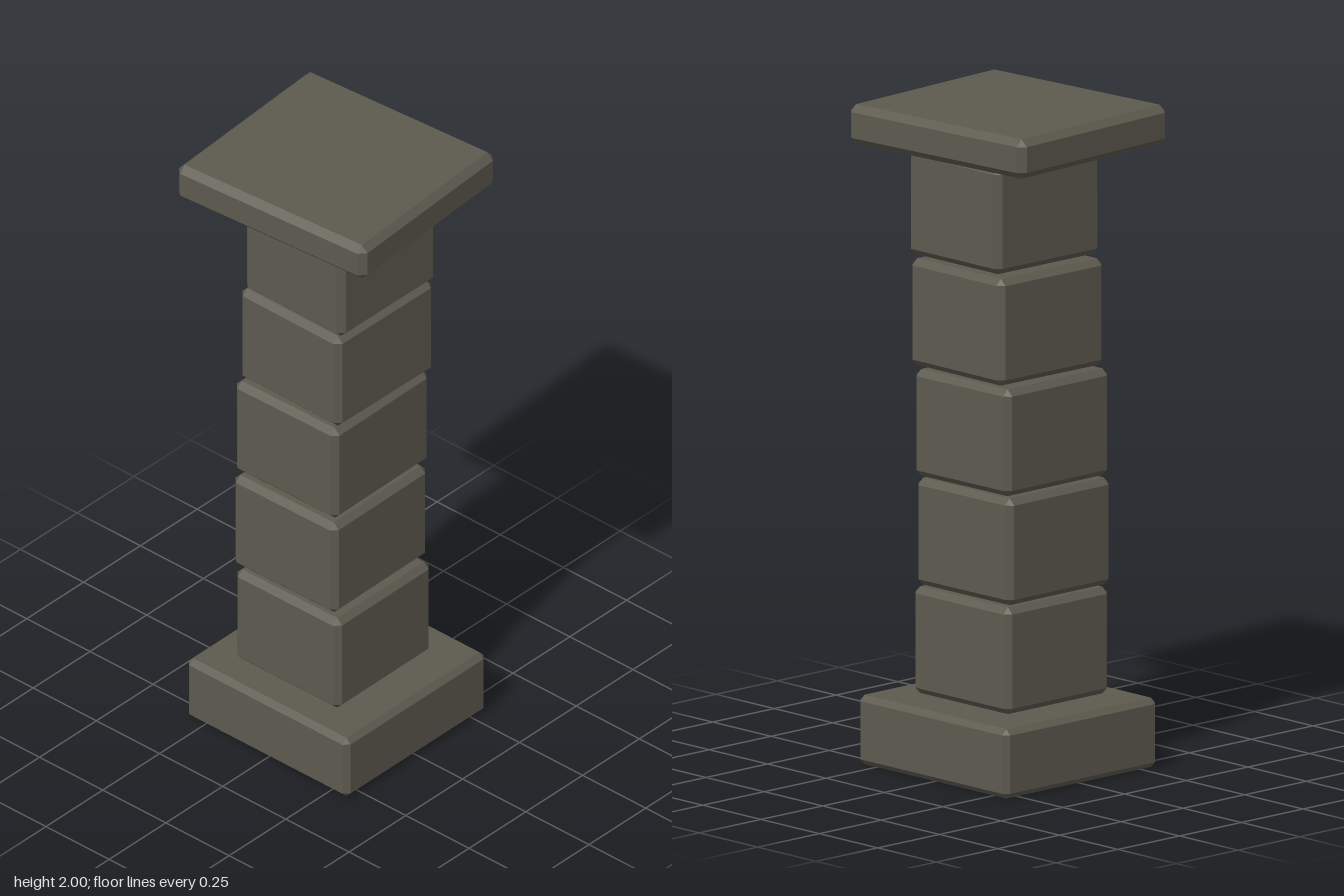
import * as THREE from 'three';
import { ConvexGeometry } from 'three/addons/geometries/ConvexGeometry.js';

// Box with every edge and corner cut flat
function chamferedBox(w, h, d, c) {
  const half = [w / 2, h / 2, d / 2];
  const points = [];
  for (const sx of [-1, 1]) for (const sy of [-1, 1]) for (const sz of [-1, 1]) {
    for (let axis = 0; axis < 3; axis++) {
      const [x, y, z] = half.map((v, i) => (i === axis ? v : v - c));
      points.push(new THREE.Vector3(x * sx, y * sy, z * sz));
    }
  }
  return new ConvexGeometry(points);
}

export function createModel() {
  const model = new THREE.Group();
  model.name = 'stonePillar';
  const stone = new THREE.MeshStandardMaterial({ color: 0x5d5a4f });
  stone.name = 'grey brown stone';

  // Adds one stone from its x, y and z ranges
  function addStone(name, [x0, x1], [y0, y1], [z0, z1], chamfer, turn = 0) {
    const mesh = new THREE.Mesh(chamferedBox(x1 - x0, y1 - y0, z1 - z0, chamfer), stone);
    mesh.name = name;
    mesh.position.set((x0 + x1) / 2, (y0 + y1) / 2, (z0 + z1) / 2);
    mesh.rotation.y = turn;
    model.add(mesh);
  }

  // Base slab
  addStone('base', [-0.32, 0.32], [0, 0.21], [-0.31, 0.31], 0.017);

  // Shaft blocks, each slightly shifted and turned, with thin open joints
  const blocks = [
    { x: [-0.207, 0.205], z: [-0.198, 0.224], turn: 0.005 },
    { x: [-0.219, 0.186], z: [-0.204, 0.219], turn: 0.01 },
    { x: [-0.223, 0.18], z: [-0.217, 0.209], turn: 0.012 },
    { x: [-0.208, 0.192], z: [-0.222, 0.201], turn: -0.01 },
    { x: [-0.187, 0.206], z: [-0.216, 0.204], turn: -0.005 },
  ];
  blocks.forEach(({ x, z, turn }, i) => {
    const y = 0.217 + i * 0.3325;
    addStone(`shaftBlock${i + 1}`, x, [y, y + 0.323], z, 0.019, turn);
  });

  // Cap slab, turned a little on the shaft
  addStone('cap', [-0.353, 0.351], [1.88, 2], [-0.321, 0.321], 0.021, 0.068);

  return model;
}
